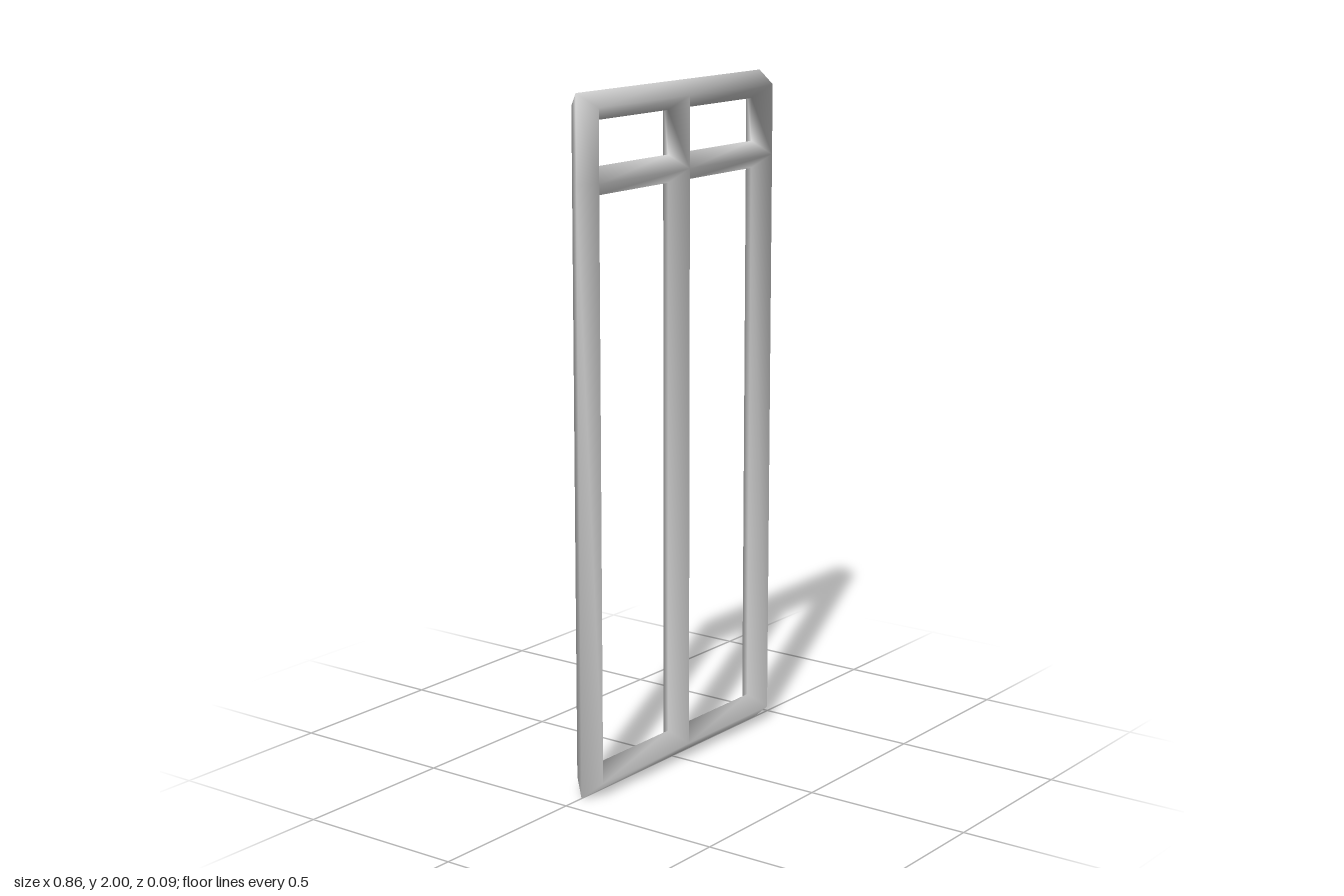
import * as THREE from 'three';

// Bar centre lines, outer limits and depth of the frame
const XS = [-0.39, 0.022, 0.43];
const YS = [0.043, 1.755, 1.96];
const OUTER_X = [-0.43, 0.022, 0.43];
const OUTER_Y = [0, 1.755, 2];
const DEPTH = 0.047;
// Glass openings: [min, max] per column and per row
const OPEN_X = [[-0.355, -0.018], [0.062, 0.39]];
const OPEN_Y = [[0.085, 1.715], [1.795, 1.92]];

export function createModel() {
  const group = new THREE.Group();
  group.name = 'window';
  const paint = new THREE.MeshStandardMaterial({ color: 0xcccccc });
  paint.name = 'light grey paint';

  const positions = [];
  const index = [];
  const vertex = (x, y, z) => positions.push(x, y - 0, z) / 3 - 1;
  const quad = (a, b, c, d) => index.push(a, b, c, a, c, d);

  // Front and back ridge points where the bars cross
  const ridge = [DEPTH, -DEPTH].map((z) => XS.map((x) => YS.map((y) => vertex(x, y, z))));

  // Sloping strips joining an edge loop to the ridges, front and back
  const bevel = (edge, nodes, outside) => {
    const n = edge.length;
    for (let k = 0; k < n; k++) {
      const m = (k + 1) % n;
      ridge.forEach((side, s) => {
        const p = side[nodes[k][0]][nodes[k][1]];
        const q = side[nodes[m][0]][nodes[m][1]];
        const strip = outside ? [edge[k], edge[m], q, p] : [p, q, edge[m], edge[k]];
        if (s === 1) strip.reverse();
        quad(...strip);
      });
    }
  };

  // Outer edge: pointed on three sides, flat on the left (+x) side
  const loop = [[0, 0], [1, 0], [2, 0], [2, 1], [2, 2], [1, 2], [0, 2], [0, 1]];
  bevel(loop.map(([i, j]) => vertex(OUTER_X[i], OUTER_Y[j], 0)), loop, true);

  // Four openings with bevelled reveals
  for (let i = 0; i < 2; i++) {
    for (let j = 0; j < 2; j++) {
      const corners = [[0, 0], [1, 0], [1, 1], [0, 1]];
      const edge = corners.map(([a, b]) => vertex(OPEN_X[i][a], OPEN_Y[j][b], 0));
      bevel(edge, corners.map(([a, b]) => [i + a, j + b]), false);
    }
  }

  const geometry = new THREE.BufferGeometry();
  geometry.setAttribute('position', new THREE.Float32BufferAttribute(positions, 3));
  geometry.setIndex(index);
  geometry.computeVertexNormals();

  const frame = new THREE.Mesh(geometry, paint);
  frame.name = 'windowFrame';
  group.add(frame);
  return group;
}
